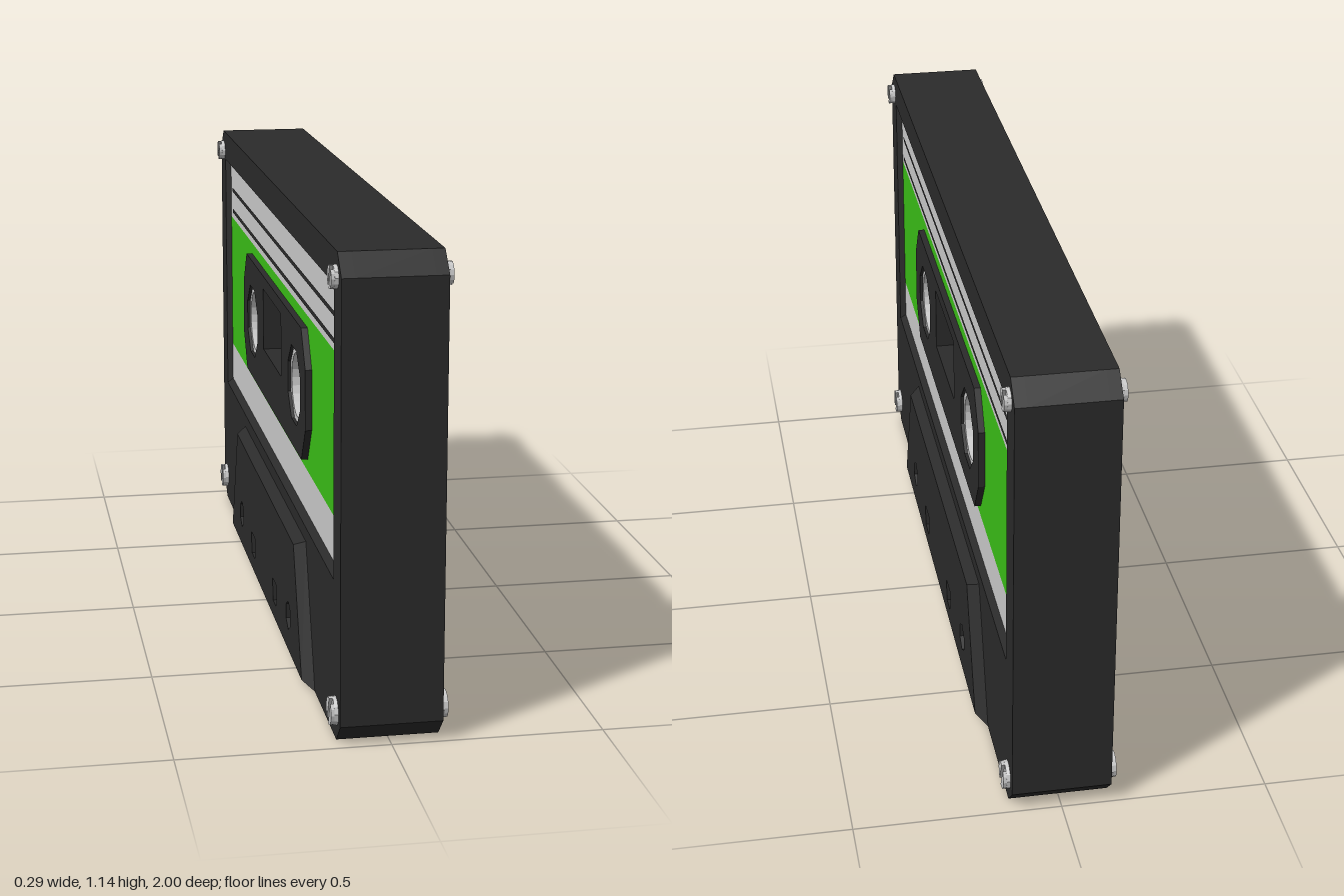
import * as THREE from 'three';

const paint = (color) => new THREE.MeshStandardMaterial({ color, side: THREE.DoubleSide, flatShading: true });
const H = 1.14, T = 0.12; // height and half thickness

const pts = (list) => list.map(([x, y]) => new THREE.Vector2(x, y));
const rect = (x0, y0, x1, y1) => pts([[x0, y0], [x1, y0], [x1, y1], [x0, y1]]);
// rectangle with cut corners
const cutRect = (x0, y0, x1, y1, cx, cy) => pts([
  [x0 + cx, y0], [x1 - cx, y0], [x1, y0 + cy], [x1, y1 - cy],
  [x1 - cx, y1], [x0 + cx, y1], [x0, y1 - cy], [x0, y0 + cy]]);
const ngon = (x, y, r, n, turn = 0) => Array.from({ length: n }, (_, i) => {
  const a = turn + (i / n) * Math.PI * 2;
  return new THREE.Vector2(x + r * Math.cos(a), y + r * Math.sin(a));
});

function shapeOf(outline, holes = []) {
  const s = new THREE.Shape(outline);
  s.holes = holes.map((h) => new THREE.Path(h));
  return s;
}

// flat slab from z0 to z1
function slab(outline, holes, z0, z1) {
  const g = new THREE.ExtrudeGeometry(shapeOf(outline, holes), { depth: z1 - z0, bevelEnabled: false });
  return g.translate(0, 0, z0);
}

function sheet(outline, holes, z) {
  return new THREE.ShapeGeometry(shapeOf(outline, holes)).translate(0, 0, z);
}

// open wall joining two loops with the same number of corners
function wall(a, za, b, zb) {
  const pos = [], index = [], n = a.length;
  a.forEach((p, i) => {
    pos.push(p.x, p.y, za, b[i].x, b[i].y, zb);
    const j = (i + 1) % n;
    index.push(2 * i, 2 * j, 2 * i + 1, 2 * j, 2 * j + 1, 2 * i + 1);
  });
  const g = new THREE.BufferGeometry();
  g.setAttribute('position', new THREE.Float32BufferAttribute(pos, 3));
  g.setIndex(index);
  g.computeVertexNormals();
  return g;
}

export function createModel() {
  const model = new THREE.Group();
  model.name = 'cassette';
  const black = paint(0x2b2b2b), grey = paint(0xcccccc), green = paint(0x3bbf17);
  const add = (parent, name, geometry, material) => {
    const m = new THREE.Mesh(geometry, material);
    m.name = name;
    parent.add(m);
    return m;
  };

  // built lying in x-y with thickness along z, then turned sideways
  const body = new THREE.Group();
  body.name = 'cassetteBody';
  body.rotation.y = Math.PI / 2;
  model.add(body);

  const outline = cutRect(-1, 0, 1, H, 0.05, 0.05);
  const guideHoles = [];
  for (const s of [-1, 1]) {
    guideHoles.push(ngon(s * 0.42, 0.11, 0.038, 6, Math.PI / 2));
    const x = s * 0.195;
    guideHoles.push(pts([[x - 0.027, 0.06], [x + 0.027, 0.06], [x + 0.034, 0.12], [x - 0.034, 0.12]]));
  }

  // rim: sides and top as one open frame
  add(body, 'rim', slab(pts([
    [-0.95, 0], [-0.95, 0.08], [-0.97, 0.1], [-0.97, 1.08], [-0.94, 1.11], [0.94, 1.11], [0.97, 1.08],
    [0.97, 0.1], [0.95, 0.08], [0.95, 0], [1, 0.05], [1, 1.09], [0.95, H], [-0.95, H], [-1, 1.09], [-1, 0.05],
  ]), [], -0.09, 0.09), black);

  // bottom wall with the tape openings, and a floor behind them
  const openings = [rect(-0.23, -0.055, 0.23, 0.055)];
  for (const s of [-1, 1]) {
    openings.push(rect(s * 0.33 - 0.05, -0.05, s * 0.33 + 0.05, 0.05));
    openings.push(rect(s * 0.53 - 0.08, -0.055, s * 0.53 + 0.08, 0.055));
  }
  const bottom = slab(rect(-0.95, -0.09, 0.95, 0.09), openings, 0, 0.045).rotateX(-Math.PI / 2);
  add(body, 'bottomWall', bottom, black);
  add(body, 'openingFloor', sheet(rect(-0.7, -0.09, 0.7, 0.09), [], 0.046).rotateX(-Math.PI / 2), black);

  // guide holes run through the whole thickness
  guideHoles.forEach((h) => add(body, 'guideHole', wall(h, -0.147, h, 0.147), black));

  // hubs with drive teeth
  for (const x of [-0.36, 0.36]) {
    const hub = new THREE.Group();
    hub.name = 'hub';
    hub.position.set(x, 0.69, 0);
    body.add(hub);
    add(hub, 'hubTube', slab(ngon(0, 0, 0.104, 8, Math.PI / 8), [ngon(0, 0, 0.081, 24)], -0.113, 0.113), grey);
    for (let i = 0; i < 6; i++) {
      const a = (i / 6) * Math.PI * 2 + 0.25;
      const tooth = add(hub, 'hubTooth', new THREE.BoxGeometry(0.026, 0.04, 0.09), grey);
      tooth.position.set(0.073 * Math.cos(a), 0.073 * Math.sin(a), 0);
      tooth.rotation.z = a;
    }
  }

  function screw(side, x, y, r) {
    const g = new THREE.Group();
    g.name = 'screw';
    g.position.set(x, y, T);
    g.rotation.z = -0.45;
    side.add(g);
    add(g, 'screwHead', new THREE.CylinderGeometry(r * 0.97, r, 0.01, 12).rotateX(Math.PI / 2).translate(0, 0, 0.004), grey);
    // two raised halves leave the slot between them
    const a0 = 0.25, half = [];
    for (let i = 0; i <= 6; i++) {
      const a = -Math.PI / 2 + a0 + (i / 6) * (Math.PI - 2 * a0);
      half.push(new THREE.Vector2(r * 0.95 * Math.cos(a), r * 0.95 * Math.sin(a)));
    }
    for (const turn of [0, Math.PI]) add(g, 'screwHalf', slab(half, [], 0.008, 0.017).rotateZ(turn), grey);
  }

  const recess = rect(-0.91, 0.375, 0.91, 1.06);
  const labelEdge = rect(-0.9, 0.39, 0.9, 1.05);
  const panel = cutRect(-0.53, 0.53, 0.53, 0.86, 0.06, 0.09);
  const windowHole = rect(-0.152, 0.66, 0.152, 0.825);
  const hubHoles = [-0.36, 0.36].map((x) => ngon(x, 0.69, 0.102, 8, Math.PI / 8));
  const baseLow = pts([[-0.66, 0], [0.66, 0], [0.53, 0.34], [-0.53, 0.34]]);
  const baseHigh = pts([[-0.625, 0.018], [0.625, 0.018], [0.505, 0.325], [-0.505, 0.325]]);

  // both faces are alike
  for (const turn of [0, Math.PI]) {
    const side = new THREE.Group();
    side.name = turn ? 'rightFace' : 'leftFace';
    side.rotation.y = turn;
    body.add(side);

    add(side, 'shellPlate', slab(outline, [recess, ...guideHoles], 0.09, T), black);
    add(side, 'recessEdge', wall(labelEdge, 0.105, recess, T), black);

    // label bands and stripes
    add(side, 'lowerLabelBand', sheet(rect(-0.9, 0.39, 0.9, 0.5), [], 0.105), grey);
    add(side, 'middleLabelBand', sheet(rect(-0.9, 0.5, 0.9, 0.89), [panel], 0.105), green);
    add(side, 'upperLabelBand', sheet(rect(-0.9, 0.89, 0.9, 1.05), [], 0.105), grey);
    for (const y of [0.915, 0.977]) {
      add(side, 'labelStripe', sheet(rect(-0.855, y - 0.006, 0.855, y + 0.006), [], 0.107), black);
    }

    add(side, 'windowPanel', slab(panel, [windowHole, ...hubHoles], 0.06, 0.121), black);

    // raised head area
    add(side, 'headBevel', wall(baseLow, T, baseHigh, 0.147), black);
    add(side, 'headFace', sheet(baseHigh, guideHoles, 0.147), black);

    for (const s of [-1, 1]) {
      screw(side, s * 0.945, 0.07, 0.035);
      screw(side, s * 0.943, 1.083, 0.028);
    }
  }
  return model;
}
